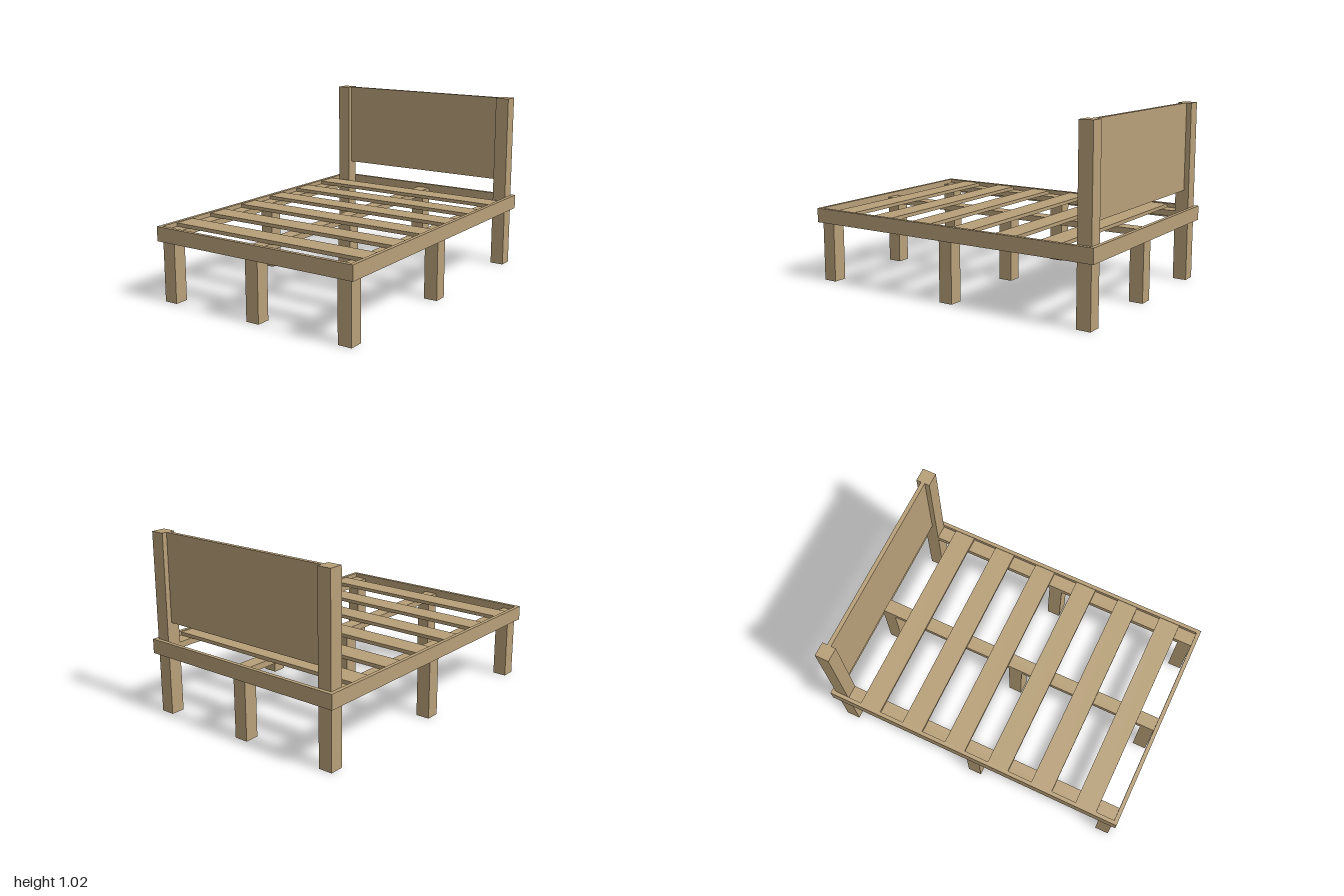
import * as THREE from 'three';

export function createModel() {
  const wood = new THREE.MeshStandardMaterial({ color: 0xb8a078 });
  wood.name = 'pale wood';
  const model = new THREE.Group();
  model.name = 'bedFrame';

  // Box from its centre in plan, its bottom and top heights
  function board(name, w, d, x, z, y0, y1) {
    const mesh = new THREE.Mesh(new THREE.BoxGeometry(w, y1 - y0, d), wood);
    mesh.name = name;
    mesh.position.set(x, (y0 + y1) / 2, z);
    model.add(mesh);
  }

  const halfW = 0.634, halfL = 0.896, t = 0.022, post = 0.08;
  const legX = halfW - t - post / 2, legZ = halfL - t - post / 2;
  const railBottom = 0.366, railTop = 0.4, headTop = 1.025;

  // Outer frame boards
  for (const s of [-1, 1]) {
    board('sideBoard', t, 2 * halfL, s * (halfW - t / 2), 0, 0.342, 0.424);
    board('endBoard', 2 * (halfW - t), t, 0, s * (halfL - t / 2), 0.342, 0.424);
  }

  // Three rows of legs; the rear corner legs rise as headboard posts
  for (const x of [-legX, 0, legX]) {
    for (const z of [-legZ, 0, legZ]) {
      const isPost = x !== 0 && z < 0;
      board(isPost ? 'headboardPost' : 'leg', post, post, x, z, 0, isPost ? headTop : railBottom);
    }
    // Flat support rail resting on the legs
    const back = x === 0 ? -legZ - post / 2 : -legZ + post / 2;
    const front = legZ + post / 2;
    board('supportRail', post, front - back, x, (front + back) / 2, railBottom, railTop);
  }

  // Slats across the rails
  for (let i = 0; i < 6; i++) {
    board('slat', 2 * (halfW - t), 0.125, 0, -0.647 + i * 0.27, railTop, 0.42);
  }

  // Headboard panel centred between the posts
  board('headboardPanel', 2 * legX - post, 0.023, 0, -legZ, 0.525, headTop);

  // The whole bed stands slightly turned
  model.rotation.y = 0.189;
  const root = new THREE.Group();
  root.name = 'bed';
  root.add(model);
  return root;
}
